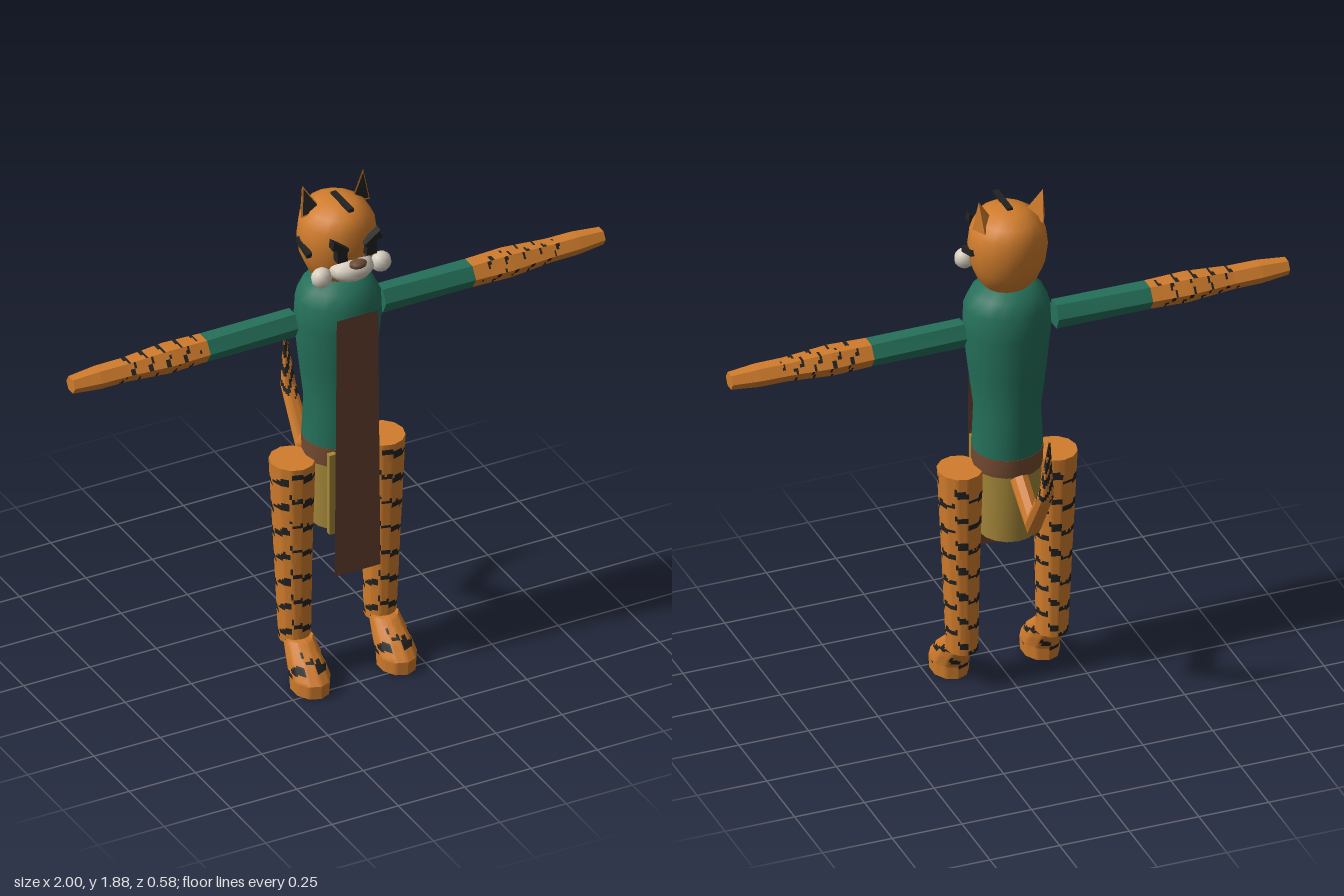
import * as THREE from 'three';
import { toCreasedNormals } from 'three/addons/utils/BufferGeometryUtils.js';

const V = (x, y, z) => new THREE.Vector3(x, y, z);
const material = (name, color) => {
  const m = new THREE.MeshStandardMaterial({ color });
  m.name = name;
  return m;
};

export function createModel() {
  const root = new THREE.Group();
  const orange = material('orange fur', 0xd07c2c);
  const black = material('black stripe', 0x222222);
  const green = material('green cloth', 0x25705a);
  const brown = material('brown belt', 0x744a30);
  const sashBrown = material('dark brown sash', 0x6a4332);
  sashBrown.side = THREE.DoubleSide;
  const khaki = material('khaki cloth', 0xa6883a);
  const white = material('pale fur', 0xd6cebf);
  const noseBrown = material('nose brown', 0x6b4a35);

  const add = (name, geo, mat, parent = root) => {
    const mesh = new THREE.Mesh(geo, mat);
    mesh.name = name;
    parent.add(mesh);
    return mesh;
  };

  // Skin over cross-sections { c, a, b }; a x b points along the loft.
  // paint(angle 0..1, point) picks the index of the material of each small cell.
  function loft(rings, sides, cols = 1, rows = 1, paint = () => 0) {
    const n = sides * cols, pos = [], tris = [[], []];
    const corner = (r, k) => {
      const t = (k / sides) * Math.PI * 2;
      return r.c.clone().addScaledVector(r.a, Math.cos(t)).addScaledVector(r.b, Math.sin(t));
    };
    const at = (r, j) => corner(r, Math.floor(j / cols)).lerp(corner(r, Math.floor(j / cols) + 1), (j % cols) / cols);
    const grid = [];
    const last = (rings.length - 1) * rows;
    for (let i = 0; i <= last; i++) {
      const k = Math.min(Math.floor(i / rows), rings.length - 2), f = i / rows - k;
      const line = [];
      for (let j = 0; j < n; j++) line.push(at(rings[k], j).lerp(at(rings[k + 1], j), f));
      grid.push(line);
    }
    grid.forEach(line => line.forEach(p => pos.push(p.x, p.y, p.z)));
    for (let i = 0; i < last; i++) for (let j = 0; j < n; j++) {
      const j2 = (j + 1) % n;
      const mid = grid[i][j].clone().add(grid[i + 1][j2]).multiplyScalar(0.5);
      const a = i * n + j, b = i * n + j2;
      tris[paint((j + 0.5) / n, mid)].push(a, b, b + n, a, b + n, a + n);
    }
    // End caps
    [0, last].forEach(i => {
      const c = rings[i ? rings.length - 1 : 0].c, id = pos.length / 3;
      pos.push(c.x, c.y, c.z);
      for (let j = 0; j < n; j++) {
        const a = i * n + j, b = i * n + (j + 1) % n;
        tris[0].push(id, ...(i ? [a, b] : [b, a]));
      }
    });
    const g = new THREE.BufferGeometry();
    g.setAttribute('position', new THREE.Float32BufferAttribute(pos, 3));
    g.setIndex([...tris[0], ...tris[1]]);
    g.addGroup(0, tris[0].length, 0);
    if (tris[1].length) g.addGroup(tris[0].length, tris[1].length, 1);
    return toCreasedNormals(g, 0.75);
  }

  // Upright ring from height, half width and back/front extent
  const ringY = (y, hw, z0, z1, x = 0) => ({ c: V(x, y, (z0 + z1) / 2), a: V(0, 0, (z1 - z0) / 2), b: V(hw, 0, 0) });
  const fract = v => v - Math.floor(v);

  // Torso, belt and shorts
  add('torso', loft([
    [0.9, 0.12, -0.028, 0.213], [1.05, 0.112, -0.028, 0.214], [1.2, 0.132, -0.034, 0.222],
    [1.36, 0.15, -0.045, 0.238], [1.45, 0.146, -0.038, 0.234], [1.5, 0.122, -0.015, 0.21], [1.535, 0.08, 0.03, 0.17],
  ].map(r => ringY(...r)), 16), [green]);
  add('belt', loft([ringY(0.83, 0.119, -0.025, 0.213), ringY(0.9, 0.121, -0.029, 0.214)], 16), [brown]);
  add('shorts', loft([ringY(0.575, 0.1, -0.012, 0.2), ringY(0.83, 0.117, -0.022, 0.21)], 16), [khaki]);
  add('shortsFrontPanel', new THREE.BoxGeometry(0.18, 0.31, 0.02), khaki).position.set(0, 0.735, 0.2);

  // Hanging sash
  const sash = new THREE.Shape([[-0.086, 0.43], [0.086, 0.43], [0.078, 1.43], [-0.078, 1.43]].map(p => new THREE.Vector2(...p)));
  add('sash', new THREE.ShapeGeometry(sash), sashBrown).position.z = 0.238;

  // Stepped tiger bands, staggered around the limb
  const legPaint = (u, p) => {
    const step = Math.floor(u * 12) / 12;
    const f = fract(p.y / 0.1 + 0.22 * Math.sin(step * Math.PI * 4 + 0.8) + (fract(u + 0.1) < 0.5 ? 0 : 0.45));
    const width = 0.2 + 0.08 * Math.sin(u * Math.PI * 10);
    return p.y > 0.035 && p.y < 0.82 && f < width ? 1 : 0;
  };

  for (const s of [1, -1]) {
    const side = s > 0 ? 'left' : 'right';
    // Legs and feet
    add(side + 'Leg', loft([
      ringY(0.14, 0.054, 0.036, 0.152, s * 0.161), ringY(0.45, 0.063, 0.026, 0.16, s * 0.166),
      ringY(0.84, 0.077, 0.01, 0.175, s * 0.17),
    ], 12, 4, 40, legPaint), [orange, black]);
    add(side + 'Foot', loft([
      ringY(0, 0.064, 0.125, 0.288, s * 0.163), ringY(0.05, 0.067, 0.12, 0.292, s * 0.163),
      ringY(0.1, 0.061, 0.09, 0.248, s * 0.162), ringY(0.16, 0.05, 0.06, 0.175, s * 0.161),
    ], 10, 4, 8, legPaint), [orange, black]);

    // Arms: sleeve and striped forearm with hand
    const ringX = (x, h, d) => ({ c: V(s * x, 1.368, 0.085), a: V(0, 0, d), b: V(0, -s * h / 0.866, 0) });
    add(side + 'Sleeve', loft([ringX(0.165, 0.045, 0.045), ringX(0.5, 0.041, 0.053)], 6), [green]);
    const armPaint = (u, p) => {
      const x = Math.abs(p.x);
      const f = fract(x / 0.065 + 0.2 * Math.sin(Math.floor(u * 12) * 1.9) + (u < 0.5 ? 0 : 0.4));
      return x > 0.53 && x < 0.83 && f < 0.13 + 0.09 * Math.sin(u * 25) ? 1 : 0;
    };
    add(side + 'Forearm', loft([
      ringX(0.5, 0.041, 0.053), ringX(0.64, 0.044, 0.058), ringX(0.8, 0.034, 0.045),
      ringX(0.9, 0.034, 0.043), ringX(1, 0.026, 0.032),
    ], 6, 4, 20, armPaint), [orange, black]);
  }

  // Head
  const head = new THREE.Group();
  head.name = 'head';
  root.add(head);
  add('skull', loft([
    [1.525, 0.08, 0.02, 0.165], [1.56, 0.105, -0.01, 0.19], [1.61, 0.126, -0.034, 0.212], [1.68, 0.135, -0.045, 0.222],
    [1.74, 0.127, -0.042, 0.219], [1.785, 0.1, -0.022, 0.2], [1.81, 0.062, 0.02, 0.16], [1.818, 0.025, 0.06, 0.12],
  ].map(r => ringY(...r)), 16), [orange], head);
  add('crownStripe', new THREE.BoxGeometry(0.02, 0.012, 0.13), black, head).position.set(0, 1.82, 0.13);

  // Muzzle and nose
  const muzzle = add('muzzle', new THREE.SphereGeometry(1, 12, 8), white, head);
  muzzle.scale.set(0.082, 0.046, 0.06);
  muzzle.position.set(0, 1.598, 0.192);
  const nose = add('nose', new THREE.SphereGeometry(1, 8, 6), noseBrown, head);
  nose.scale.set(0.033, 0.016, 0.024);
  nose.position.set(0, 1.637, 0.242);

  for (const s of [1, -1]) {
    const side = s > 0 ? 'left' : 'right';
    const cheek = add(side + 'CheekTuft', new THREE.SphereGeometry(1, 10, 8), white, head);
    cheek.scale.set(0.037, 0.037, 0.032);
    cheek.position.set(s * 0.112, 1.588, 0.193);

    // Slanted brow joined to the eye
    const eye = new THREE.Shape([[0.03, 1.7], [0.088, 1.742], [0.092, 1.71], [0.075, 1.705], [0.073, 1.655], [0.035, 1.655], [0.038, 1.685]]
      .map(([x, y]) => new THREE.Vector2(s * x, y)));
    add(side + 'EyeAndBrow', new THREE.ExtrudeGeometry(eye, { depth: 0.03, bevelEnabled: false }), black, head).position.z = 0.207;

    const temple = add(side + 'TempleStripe', new THREE.BoxGeometry(0.018, 0.02, 0.085), black, head);
    temple.position.set(s * 0.133, 1.667, 0.107);
    temple.rotation.x = 0.3;

    // Pointed ear with dark inner face
    const [inn, out, back, tip] = [V(s * 0.052, 1.78, 0.09), V(s * 0.13, 1.765, 0.08), V(s * 0.105, 1.765, 0.03), V(s * 0.115, 1.878, 0.06)];
    const faces = [[inn, out, tip], [out, back, tip], [back, inn, tip], [inn, back, out]]
      .flatMap(f => (s > 0 ? f : [f[0], f[2], f[1]]));
    add(side + 'Ear', new THREE.BufferGeometry().setFromPoints(faces), orange, head).geometry.computeVertexNormals();
    const mid = inn.clone().add(out).add(tip).divideScalar(3);
    const inset = faces.slice(0, 3).map(p => p.clone().lerp(mid, 0.18).add(V(0, 0.001, 0.004)));
    add(side + 'InnerEar', new THREE.BufferGeometry().setFromPoints(inset), black, head).geometry.computeVertexNormals();
  }

  // Bent tail with dark tip
  const ringT = (y, z, dy, dz, w, h) => {
    const l = Math.hypot(dy, dz);
    return { c: V(0, y, z), a: V(w, 0, 0), b: V(0, dz / l * h, -dy / l * h) };
  };
  const tailPaint = (u, p) => (p.y > 0.86 && p.z < -0.2 && fract(p.y / 0.06 + 0.5 * Math.sin(u * 12.6)) < 0.25 + (p.y - 0.86) * 3 ? 1 : 0);
  add('tail', loft([
    ringT(0.82, -0.015, -0.7, -0.75, 0.032, 0.042), ringT(0.718, -0.145, 0, -1, 0.032, 0.047),
    ringT(0.89, -0.255, 0.95, -0.35, 0.028, 0.025), ringT(1.113, -0.287, 1, -0.1, 0.003, 0.003),
  ], 8, 3, 20, tailPaint), [orange, black]);

  return root;
}
